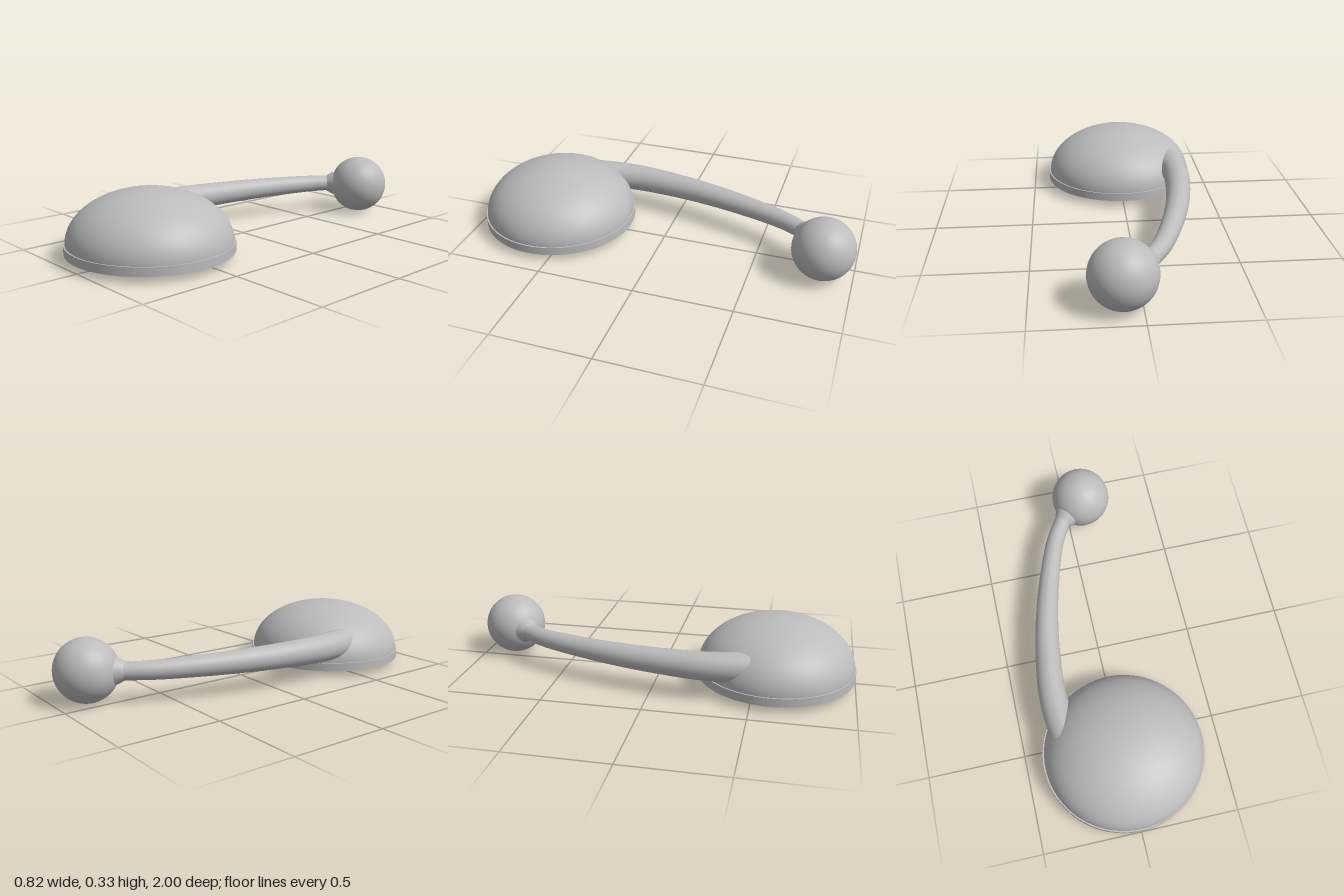
import * as THREE from 'three';

const grey = new THREE.MeshStandardMaterial({ color: 0xbcbcbc });
grey.name = 'plain grey';

const BALL = new THREE.Vector3(0.087, 0.159, -0.843);

// Tube along a curve whose radius follows r(t)
function taperedTube(curve, r, segments, sides) {
  const geo = new THREE.TubeGeometry(curve, segments, 1, sides, false);
  const pos = geo.attributes.position;
  const v = new THREE.Vector3();
  for (let i = 0; i < pos.count; i++) {
    const t = Math.floor(i / (sides + 1)) / segments;
    const c = curve.getPointAt(t);
    v.fromBufferAttribute(pos, i).sub(c).multiplyScalar(r(t)).add(c);
    pos.setXYZ(i, v.x, v.y, v.z);
  }
  geo.computeVertexNormals();
  return geo;
}

export function createModel() {
  const group = new THREE.Group();
  const add = (name, geo, x, y, z) => {
    const mesh = new THREE.Mesh(geo, grey);
    mesh.name = name;
    mesh.position.set(x, y, z);
    group.add(mesh);
    return mesh;
  };

  // Slightly oval base: flat rim disc with a domed cap
  add('baseRim', new THREE.CylinderGeometry(1, 1, 0.043, 96), 0, 0.0565, 0.597)
    .scale.set(0.4125, 1, 0.403);
  add('dome', new THREE.SphereGeometry(1, 96, 32, 0, Math.PI * 2, 0, Math.PI / 2), 0, 0.077, 0.597)
    .scale.set(0.405, 0.255, 0.396);

  // Curved arm, thick in the dome and thin at the ball
  const path = new THREE.CatmullRomCurve3([
    [-0.24, 0.6], [-0.28, 0.42], [-0.294, 0.25], [-0.27, 0], [-0.232, -0.2],
    [-0.178, -0.4], [-0.107, -0.6], [-0.042, -0.718],
  ].map(([x, z]) => new THREE.Vector3(x, 0.162, z)));
  add('arm', taperedTube(path, t => 0.08 - 0.037 * t, 64, 32), 0, 0, 0);

  // Flared collar where the arm meets the ball
  const start = new THREE.Vector3(-0.047, 0.162, -0.71);
  const dir = BALL.clone().sub(start).setY(0).normalize();
  const collar = add('collar', new THREE.CylinderGeometry(0.066, 0.043, 0.04, 32), 0, 0, 0);
  collar.position.copy(start).addScaledVector(dir, 0.02);
  collar.quaternion.setFromUnitVectors(new THREE.Vector3(0, 1, 0), dir);

  add('ball', new THREE.SphereGeometry(0.157, 64, 40), BALL.x, BALL.y, BALL.z);
  return group;
}
